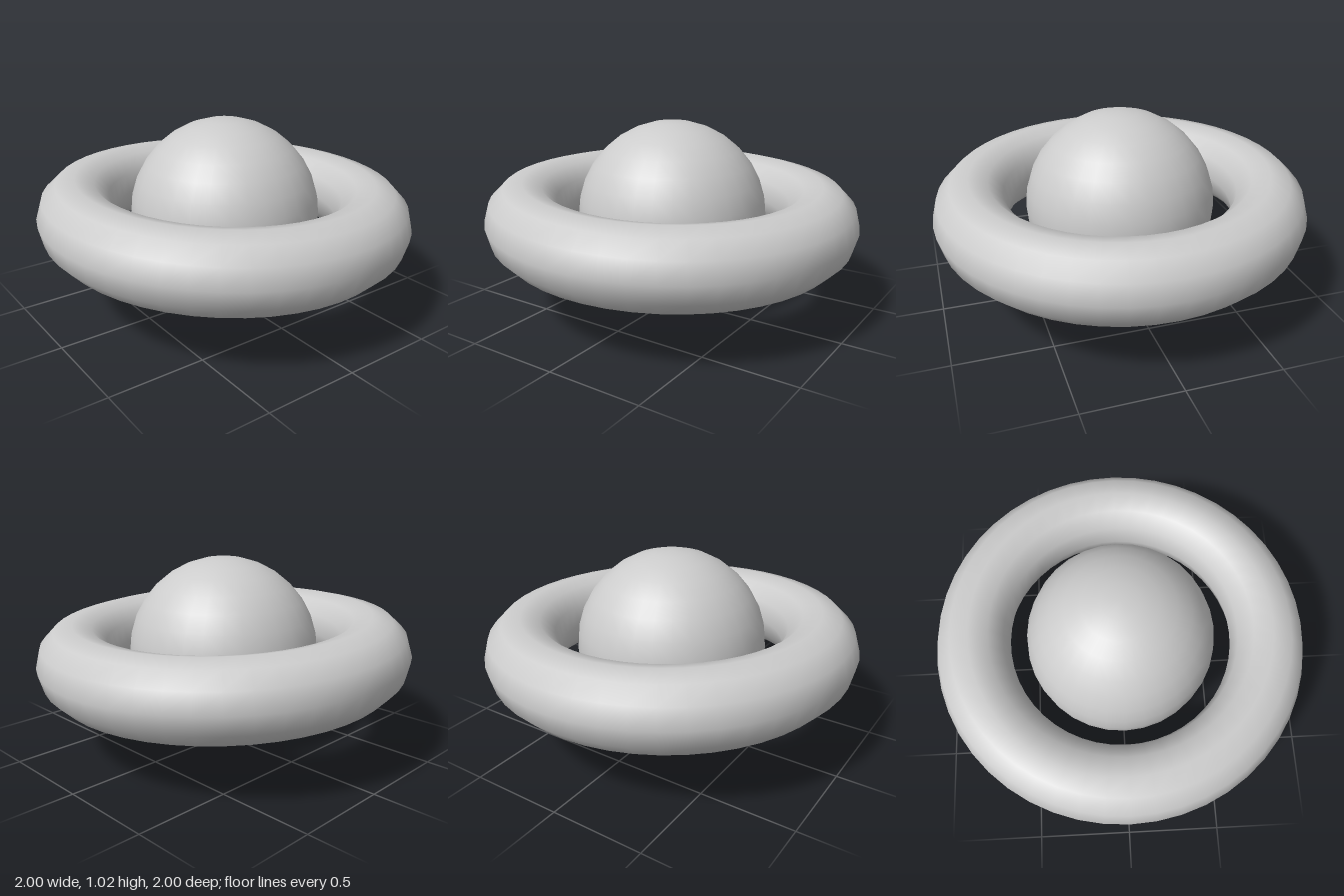
import * as THREE from 'three';

export function createModel() {
  const model = new THREE.Group();
  const material = new THREE.MeshStandardMaterial({ color: 0xcccccc });
  const centreY = 0.51;

  // Central ball, resting on the ground
  const ball = new THREE.Mesh(new THREE.SphereGeometry(0.51, 32, 16), material);
  ball.name = 'ball';
  ball.position.y = centreY;
  model.add(ball);

  // Thick ring around the ball, laid flat and tipped slightly up at the front left
  const ringGeometry = new THREE.TorusGeometry(0.8, 0.2, 12, 48);
  ringGeometry.rotateX(Math.PI / 2);
  const ring = new THREE.Mesh(ringGeometry, material);
  ring.name = 'ring';
  ring.position.y = centreY;
  ring.rotation.set(-0.03, 0, -0.015);
  model.add(ring);

  return model;
}
